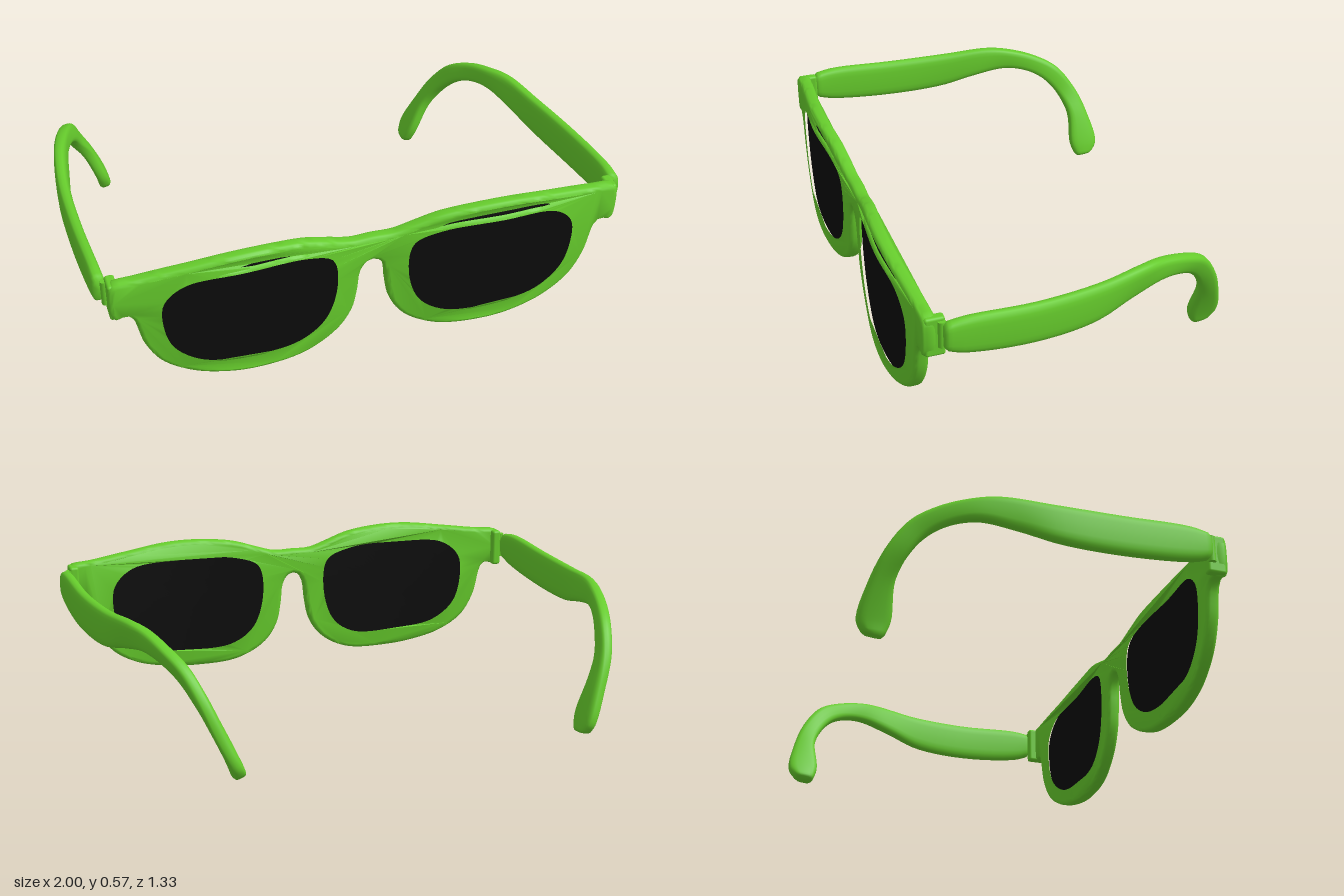
import * as THREE from 'three';
import { toCreasedNormals } from 'three/addons/utils/BufferGeometryUtils.js';
import { RoundedBoxGeometry } from 'three/addons/geometries/RoundedBoxGeometry.js';

const V = (x, y, z) => new THREE.Vector3(x, y, z);
const CENTRE = 0.01; // the front sits slightly off centre

// depth of the wavy front at a given x: bulges at each lens
const frontDepth = (x) => {
  const u = x - CENTRE;
  return 0.605 + 0.032 * Math.sin((Math.PI * u) / 0.95) ** 2 + 0.006 * u;
};

// smooth closed outline through a few points
function outline(points, count) {
  const curve = new THREE.CatmullRomCurve3(points.map(([x, y]) => V(x, y, 0)), true, 'centripetal');
  return curve.getSpacedPoints(count).slice(0, count).map((p) => new THREE.Vector2(p.x, p.y));
}

// closed skin over a list of equal-sized rings
function loft(rings) {
  const n = rings[0].length, pos = [], index = [];
  rings.forEach((ring) => ring.forEach((p) => pos.push(p.x, p.y, p.z)));
  for (let i = 0; i < rings.length - 1; i++) {
    for (let j = 0; j < n; j++) {
      const a = i * n + j, b = i * n + ((j + 1) % n);
      index.push(a, b, a + n, b, b + n, a + n);
    }
  }
  const g = new THREE.BufferGeometry();
  g.setAttribute('position', new THREE.Float32BufferAttribute(pos, 3));
  g.setIndex(index);
  g.computeVertexNormals();
  return g;
}

// half of the front's outer edge, from bridge top round to bridge underside
const HALF_EDGE = [
  [0.08, 0.505], [0.16, 0.528], [0.25, 0.555], [0.38, 0.57], [0.52, 0.57], [0.7, 0.548],
  [0.85, 0.528], [0.93, 0.52], [0.942, 0.51], [0.942, 0.38], [0.93, 0.365], [0.89, 0.375],
  [0.87, 0.36], [0.835, 0.23], [0.78, 0.14], [0.68, 0.075], [0.56, 0.042], [0.43, 0.03],
  [0.25, 0.045], [0.13, 0.11], [0.075, 0.19], [0.055, 0.28], [0.045, 0.36], [0.025, 0.395],
];
// one lens opening, clockwise from the front
const OPENING = [
  [0.118, 0.33], [0.14, 0.46], [0.25, 0.505], [0.48, 0.512], [0.69, 0.495], [0.775, 0.42],
  [0.785, 0.31], [0.75, 0.195], [0.65, 0.115], [0.48, 0.09], [0.27, 0.1], [0.165, 0.175],
];
const place = (pts, side) => {
  const out = pts.map(([x, y]) => [side * x + CENTRE, y]);
  return side < 0 ? out.reverse() : out;
};

function frontFrame() {
  const edge = [[CENTRE, 0.505], ...place(HALF_EDGE, 1), [CENTRE, 0.405], ...place(HALF_EDGE, -1)];
  const shape = new THREE.Shape(outline(edge, 220));
  for (const side of [1, -1]) shape.holes.push(new THREE.Path(outline(place(OPENING, side), 80)));
  const bevel = 0.016, thick = 0.052;
  const g = new THREE.ExtrudeGeometry(shape, {
    depth: thick - 2 * bevel, bevelThickness: bevel, bevelSize: bevel, bevelOffset: -bevel, bevelSegments: 3,
  });
  const p = g.attributes.position;
  for (let i = 0; i < p.count; i++) {
    p.setZ(i, p.getZ(i) + bevel - thick / 2 + frontDepth(p.getX(i)));
  }
  return toCreasedNormals(g, 0.9);
}

// curved dark lens, front skin then back skin
function lens(side) {
  const pts = outline(place(OPENING, side), 64);
  const c = new THREE.Vector2(side * 0.455 + CENTRE, 0.3);
  const ring = (s, dz) => pts.map((p) => {
    const q = p.clone().sub(c).multiplyScalar(s).add(c);
    return V(q.x, q.y, frontDepth(q.x) + dz);
  });
  const scales = [0, 0.25, 0.5, 0.75, 1.02];
  return toCreasedNormals(loft([
    ...scales.map((s) => ring(s, 0.014)),
    ...scales.slice().reverse().map((s) => ring(s, -0.012)),
  ]), 0.9);
}

// temple side profile: top z, top y, bottom z, bottom y
const TEMPLE = [
  [0.57, 0.505, 0.57, 0.405], [0.49, 0.515, 0.5, 0.38], [0.24, 0.5, 0.25, 0.35], [0, 0.495, 0.02, 0.352],
  [-0.18, 0.503, -0.12, 0.385], [-0.27, 0.49, -0.25, 0.407], [-0.38, 0.455, -0.34, 0.392],
  [-0.47, 0.4, -0.41, 0.35], [-0.54, 0.3, -0.465, 0.28], [-0.585, 0.18, -0.497, 0.2],
  [-0.61, 0.06, -0.495, 0.07], [-0.585, 0.015, -0.515, 0.008],
];
const LEFT_X = [0.973, 0.972, 0.955, 0.915, 0.87, 0.83, 0.79, 0.745, 0.7, 0.655, 0.6, 0.58];
const RIGHT_X = [-0.952, -0.958, -0.97, -0.97, -0.95, -0.93, -0.9, -0.87, -0.84, -0.795, -0.75, -0.738];

function temple(xs, zScale, zShift, tipLift) {
  const rail = (k) => new THREE.CatmullRomCurve3(TEMPLE.map((r, i) =>
    V(xs[i], r[k + 1] + (tipLift * i) / (TEMPLE.length - 1), r[k] * zScale + zShift)));
  const top = rail(0), bottom = rail(2);
  const mid = (u) => top.getPoint(u).add(bottom.getPoint(u)).multiplyScalar(0.5);
  const round = (v) => Math.sign(v) * Math.abs(v) ** 0.65;
  const section = (u, s) => {
    const c = mid(u);
    const t = mid(Math.min(1, u + 0.01)).sub(mid(Math.max(0, u - 0.01))).normalize();
    const a = top.getPoint(u).sub(bottom.getPoint(u)).multiplyScalar(0.5);
    const n = t.clone().cross(a).normalize();
    return Array.from({ length: 20 }, (_, j) => {
      const w = (j / 20) * Math.PI * 2;
      return c.clone().addScaledVector(a, s * round(Math.cos(w))).addScaledVector(n, s * 0.025 * round(Math.sin(w)));
    });
  };
  const rings = [section(0, 0), section(0, 0.8)];
  for (let i = 1; i < 60; i++) rings.push(section(i / 60, 1));
  rings.push(section(1, 0.85), section(1, 0));
  return loft(rings);
}

export function createModel() {
  const green = new THREE.MeshStandardMaterial({ color: 0x66cc2c });
  green.name = 'frame green';
  const black = new THREE.MeshStandardMaterial({ color: 0x0c0c0c });
  black.name = 'lens black';

  const model = new THREE.Group();
  model.name = 'sunglasses';
  const add = (name, geometry, material, x = 0, y = 0, z = 0) => {
    const m = new THREE.Mesh(geometry, material);
    m.name = name;
    m.position.set(x, y, z);
    model.add(m);
  };

  add('frontFrame', frontFrame(), green);
  add('leftLens', lens(1), black);
  add('rightLens', lens(-1), black);
  add('leftTemple', temple(LEFT_X, 1, 0, 0), green);
  add('rightTemple', temple(RIGHT_X, 1.03, -0.04, 0.014), green);

  // folded-back end pieces and hinge barrels
  for (const [name, x, z, hx] of [['left', 0.937, 0.592, 0.956], ['right', -0.918, 0.582, -0.938]]) {
    add(name + 'EndPiece', new RoundedBoxGeometry(0.036, 0.15, 0.072, 3, 0.01), green, x, 0.443, z);
    add(name + 'Hinge', new THREE.CylinderGeometry(0.014, 0.014, 0.1, 16), green, hx, 0.455, z - 0.022);
  }
  return model;
}
